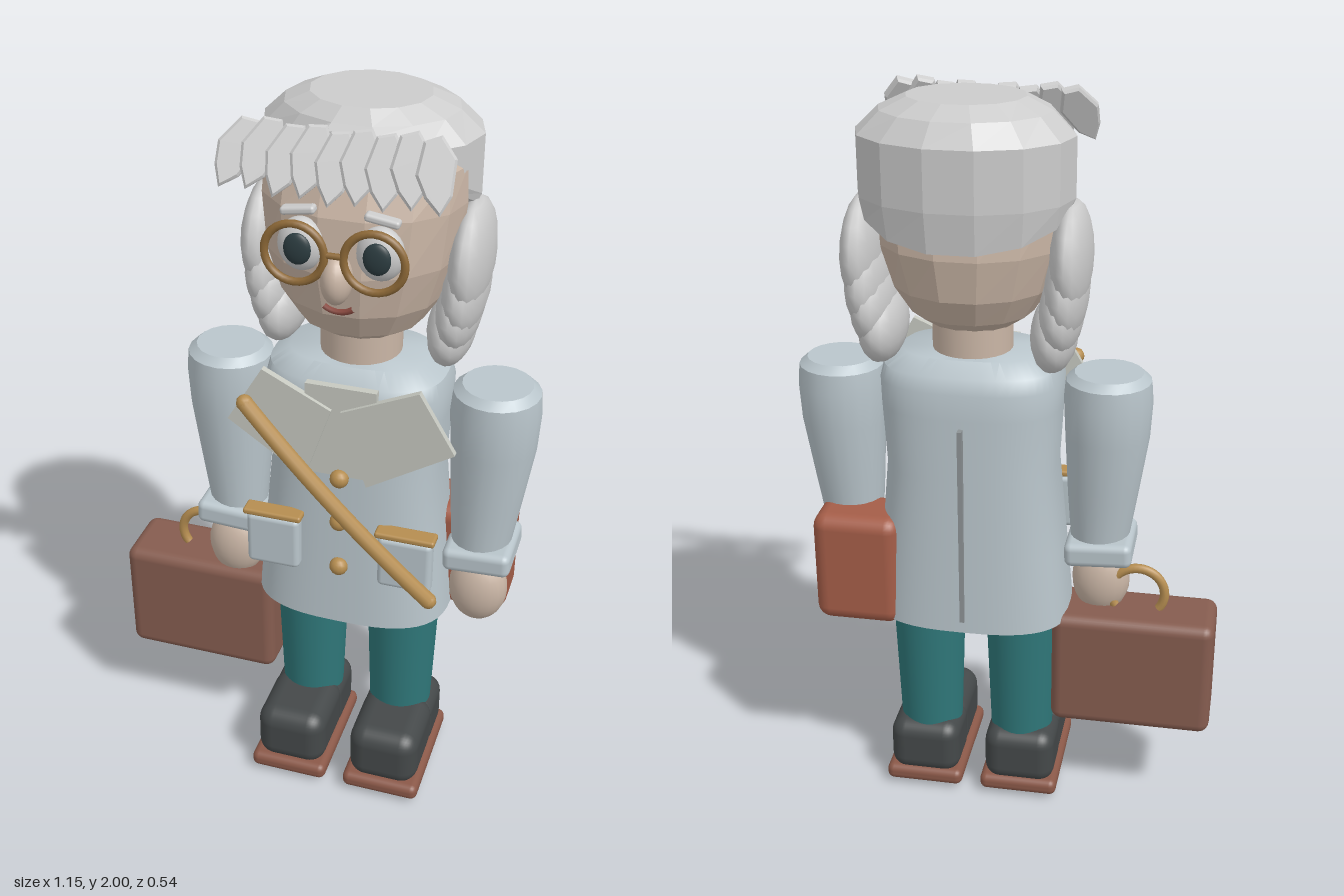
import * as THREE from 'three';
import { toCreasedNormals } from 'three/addons/utils/BufferGeometryUtils.js';
import { RoundedBoxGeometry } from 'three/addons/geometries/RoundedBoxGeometry.js';

const C = 0.098; // body centre line
const mat = (color, flat = false) => new THREE.MeshStandardMaterial({ color, flatShading: flat });
const M = {
  hair: mat(0xcccccc), hairFlat: mat(0xcccccc, true), skin: mat(0xc9b5a5), skinFlat: mat(0xc9b5a5, true),
  coat: mat(0xb9c5cb), collar: mat(0xc6c8c0), trousers: mat(0x2f7779), shoe: mat(0x444849),
  sole: mat(0x8a5848), suitcase: mat(0x855c4f), satchel: mat(0xa45d48), gold: mat(0xb58d50),
  glasses: mat(0x8f6a38), iris: mat(0x2c3c40), mouth: mat(0x8a4a40), seam: mat(0x8c9294),
};

// Closed skin over stacked rings [y, rx, rz, cz, cx]; p is the superellipse power, yRule may reshape heights.
function loft(rings, seg, p = 2, yRule = null) {
  const pos = [], idx = [], n = rings.length;
  const pw = (v) => Math.sign(v) * Math.pow(Math.abs(v), 2 / p);
  rings.forEach(([y, rx, rz, cz = 0, cx = 0], i) => {
    for (let j = 0; j < seg; j++) {
      const a = (j / seg) * Math.PI * 2;
      const x = cx + rx * pw(Math.cos(a)), z = cz + rz * pw(Math.sin(a));
      pos.push(x, yRule ? yRule(i, y, z) : y, z);
    }
  });
  for (let i = 0; i < n - 1; i++) for (let j = 0; j < seg; j++) {
    const a = i * seg + j, b = i * seg + ((j + 1) % seg);
    idx.push(a, a + seg, b, b, a + seg, b + seg);
  }
  const first = rings[0], last = rings[n - 1];
  pos.push(first[4] || 0, first[0], first[3] || 0, last[4] || 0, last[0], last[3] || 0);
  for (let j = 0; j < seg; j++) {
    const k = (j + 1) % seg, t = (n - 1) * seg;
    idx.push(n * seg, j, k, n * seg + 1, t + k, t + j);
  }
  const g = new THREE.BufferGeometry();
  g.setAttribute('position', new THREE.Float32BufferAttribute(pos, 3));
  g.setIndex(idx);
  return toCreasedNormals(g, 0.7);
}

// Thin plate with a given outline
function plate(points, depth, bevel = 0) {
  const s = new THREE.Shape(points.map(([x, y]) => new THREE.Vector2(x, y)));
  return new THREE.ExtrudeGeometry(s, {
    depth, bevelEnabled: bevel > 0, bevelSize: bevel, bevelThickness: bevel, bevelSegments: 1,
  });
}

export function createModel() {
  const root = new THREE.Group();
  const add = (name, geo, m, x = 0, y = 0, z = 0, rx = 0, ry = 0, rz = 0) => {
    const mesh = new THREE.Mesh(geo, m);
    mesh.name = name;
    mesh.position.set(x, y, z);
    mesh.rotation.set(rx, ry, rz);
    root.add(mesh);
    return mesh;
  };
  const ball = (name, m, x, y, z, a, b, c, ws = 20, hs = 14) =>
    add(name, new THREE.SphereGeometry(1, ws, hs).scale(a, b, c), m, x, y, z);
  const box = (name, m, w, h, d, r, x, y, z, rz = 0) =>
    add(name, new RoundedBoxGeometry(w, h, d, 3, r), m, x, y, z, 0, 0, rz);

  // Head and neck
  add('head', loft([
    [1.41, 0.1, 0.09], [1.45, 0.16, 0.15], [1.52, 0.205, 0.19], [1.63, 0.24, 0.21],
    [1.77, 0.255, 0.195], [1.86, 0.25, 0.155], [1.93, 0.2, 0.12],
  ], 14), M.skinFlat, C);
  add('neck', new THREE.CylinderGeometry(0.105, 0.105, 0.14, 24), M.skin, C, 1.37, 0);

  // Hair cap, its rim rising from nape to forehead
  const rim = (z) => (z < 0 ? 1.77 + z * 0.42 : 1.77 + z * 1.25);
  add('hairCap', loft([
    [1.7, 0.262, 0.195, -0.065], [1.765, 0.272, 0.203, -0.07], [1.915, 0.272, 0.203, -0.07],
    [1.97, 0.215, 0.175, -0.06], [2.0, 0.148, 0.132, -0.05],
  ], 14, 2, (i, y, z) => (i === 0 ? rim(z) : i === 1 ? Math.max(y, rim(z) + 0.02) : i === 2 ? Math.max(y, rim(z) + 0.025) : y)),
  M.hairFlat, C);

  // Fringe of overlapping locks
  const lockOutline = [[-0.015, 0.075], [0.02, 0.08], [0.042, 0.03], [0.02, -0.045], [-0.008, -0.078], [-0.03, -0.04], [-0.042, 0.01]];
  const lock = plate(lockOutline, 0.014, 0.006);
  for (let i = 0; i < 9; i++) {
    const t = i / 4 - 1;
    add('fringeLock', lock, M.hairFlat, C - 0.012 + t * 0.235, 1.895 + 0.012 * Math.abs(t) + (i % 2) * 0.008,
      0.197, -0.42, 0.25, t * 0.28);
  }

  // Face: nose, mouth, then eyes, brows and glasses on each side
  ball('nose', M.skin, C, 1.635, 0.222, 0.038, 0.062, 0.05);
  add('mouth', new THREE.TorusGeometry(0.06, 0.008, 6, 14, 1.3), M.mouth, C, 1.602, 0.205, 0, 0, -Math.PI / 2 - 0.65);
  for (const s of [-1, 1]) {
    const x = C + s * 0.096;
    ball('eye', M.hair, x, 1.7, 0.19, 0.058, 0.067, 0.04);
    ball('iris', M.iris, x, 1.7, 0.222, 0.034, 0.04, 0.014);
    add('glassesRim', new THREE.TorusGeometry(0.073, 0.01, 8, 32), M.glasses, x, 1.7, 0.245);
    box('eyebrow', M.hair, 0.085, 0.02, 0.03, 0.008, x + s * 0.005, 1.787, 0.195, -s * 0.15);
  }
  add('glassesBridge', new THREE.CylinderGeometry(0.008, 0.008, 0.05, 8), M.glasses, C, 1.705, 0.245, 0, 0, Math.PI / 2);

  // Side hair lobes
  const lobes = [[1.61, 0.262, 0.052, 0.145, 0.16], [1.53, 0.252, 0.055, 0.125, 0.157],
    [1.475, 0.24, 0.056, 0.11, 0.153], [1.415, 0.222, 0.06, 0.1, 0.138]];
  for (const s of [-1, 1]) for (const [y, dx, rx, ry, rz] of lobes) {
    ball('sideHair', M.hair, C + s * dx, y, -0.055, rx, ry, rz, 16, 10);
  }

  // Coat with back seam
  add('coat', loft([
    [0.585, 0.27, 0.19], [0.8, 0.25, 0.185], [1.03, 0.228, 0.178], [1.2, 0.238, 0.175],
    [1.27, 0.24, 0.172], [1.31, 0.23, 0.16], [1.345, 0.18, 0.12],
  ], 48, 2.8), M.coat, C);
  add('backSeam', new THREE.BoxGeometry(0.012, 0.56, 0.02), M.seam, C, 0.9, -0.186);

  // Shirt front and lapels
  add('shirtFront', new THREE.BoxGeometry(0.185, 0.26, 0.02), M.collar, C, 1.19, 0.175);
  const lapel = [[-0.01, 0.08], [-0.19, 0.17], [-0.285, 0.01], [-0.08, -0.13]];
  for (const s of [-1, 1]) {
    const pts = lapel.map(([x, y]) => [x * -s, y]);
    add('lapel', plate(s > 0 ? pts.map(([x, y]) => [x - 0.02 * (x < 0.1), y]).reverse() : pts, 0.018),
      M.collar, C + s * 0.012, 1.175, 0.177);
  }

  // Buttons, pockets with trim
  for (const y of [1.055, 0.92, 0.775]) ball('button', M.gold, C, y, 0.19, 0.025, 0.025, 0.024, 14, 10);
  for (const s of [-1, 1]) {
    box('pocket', M.coat, 0.145, 0.155, 0.045, 0.015, C + s * 0.18, 0.825, 0.185);
    box('pocketTrim', M.gold, 0.16, 0.018, 0.05, 0.007, C + s * 0.18, 0.912, 0.187);
  }

  // Shoulder strap
  const strapPath = new THREE.QuadraticBezierCurve3(
    new THREE.Vector3(-0.145, 1.25, 0.212), new THREE.Vector3(0.1, 0.99, 0.25), new THREE.Vector3(0.35, 0.735, 0.212));
  add('strap', new THREE.TubeGeometry(strapPath, 24, 0.022, 10), M.gold);
  for (const t of [0, 1]) {
    const e = strapPath.getPoint(t);
    ball('strapEnd', M.gold, e.x, e.y, e.z, 0.022, 0.022, 0.022, 10, 8);
  }

  for (const s of [-1, 1]) {
    // Arm, cuff and hand
    add('arm', loft([
      [0.775, 0.075, 0.077, 0.01, -s * 0.015], [0.95, 0.095, 0.095, 0.005, -s * 0.008], [1.12, 0.112, 0.112],
      [1.22, 0.117, 0.118], [1.275, 0.112, 0.112], [1.295, 0.09, 0.09],
    ], 20), M.coat, C + s * 0.357, 0, 0);
    box('cuff', M.coat, 0.182, 0.068, 0.195, 0.02, C + s * 0.348, 0.793, 0.008, s * 0.05);
    ball('hand', M.skin, C + s * 0.348, 0.672, 0.03, 0.08, 0.105, 0.062);

    // Trouser leg and shoe
    const x = C + s * 0.133;
    add('trouserLeg', new THREE.CylinderGeometry(0.104, 0.087, 0.48, 28), M.trousers, x, 0.4, -0.005);
    const shoeX = C + s * 0.138;
    add('shoeToe', new RoundedBoxGeometry(0.2, 0.175, 0.23, 4, 0.05), M.shoe, shoeX, 0.13, 0.113);
    add('shoeHeel', new RoundedBoxGeometry(0.2, 0.165, 0.18, 4, 0.045), M.shoe, shoeX, 0.125, -0.025);
    box('sole', M.sole, 0.222, 0.048, 0.36, 0.02, shoeX, 0.036, 0.06);
    add('soleGrip', new THREE.BoxGeometry(0.13, 0.02, 0.24), M.shoe, shoeX, 0.01, 0.05);
  }

  // Suitcase in the right hand
  box('suitcase', M.suitcase, 0.445, 0.34, 0.195, 0.03, -0.352, 0.435, -0.003);
  add('suitcaseHandle', new THREE.TorusGeometry(0.075, 0.013, 10, 28, Math.PI * 1.4), M.gold, -0.355, 0.65, -0.003, 0, 0, -Math.PI * 0.2);

  // Satchel at the left hip
  box('satchel', M.satchel, 0.24, 0.32, 0.178, 0.04, 0.398, 0.727, -0.078);

  return root;
}
